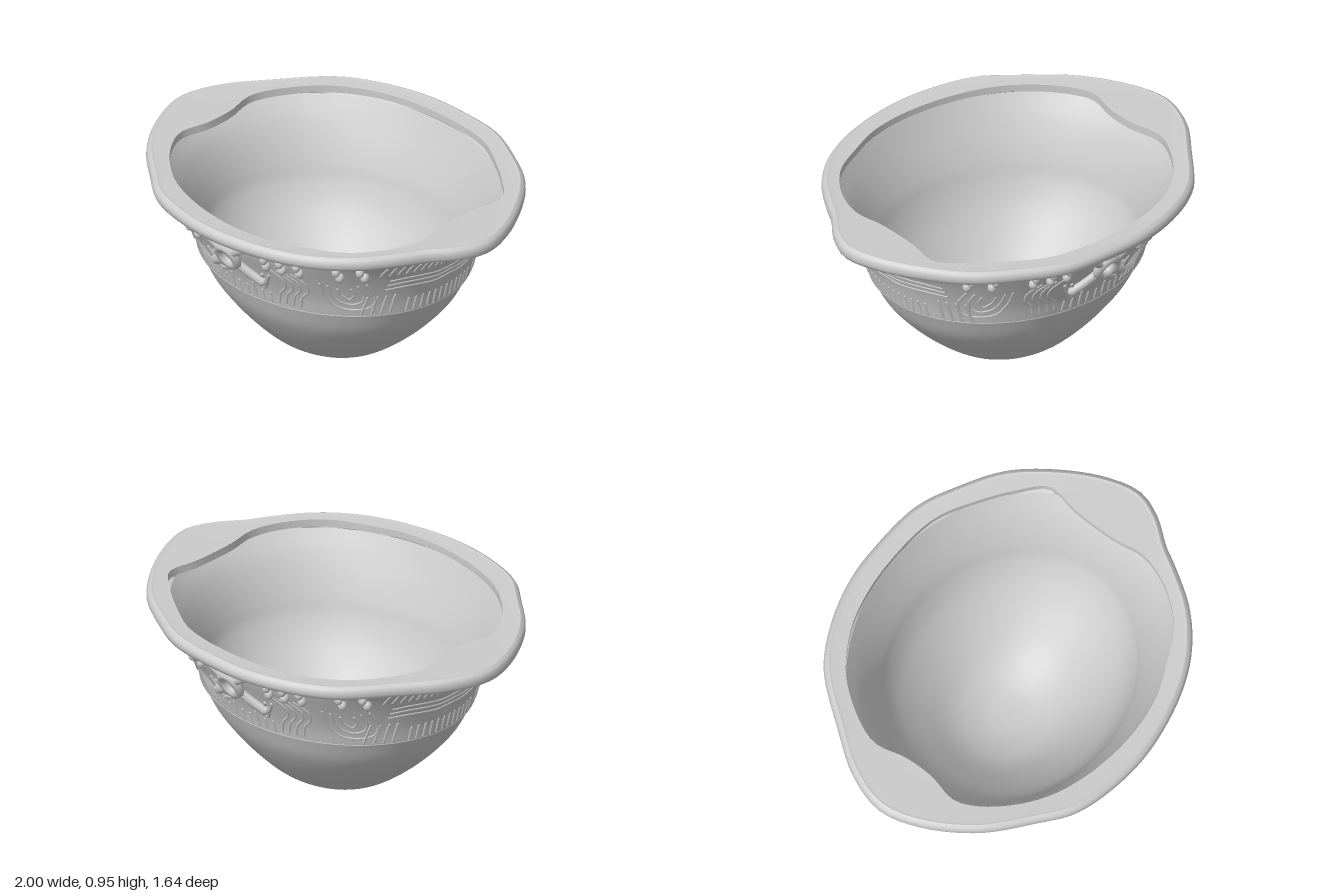
import * as THREE from 'three';
import { mergeGeometries } from 'three/addons/utils/BufferGeometryUtils.js';

const N = 120;
const material = new THREE.MeshStandardMaterial({ color: 0xcccccc });
const V = (x, y, z) => new THREE.Vector3(x, y, z);

// Closed surface of rings: at(theta, row) gives a point, rows run upward for an outward face
function loft(rows, at) {
  const pos = [], idx = [];
  rows.forEach((row, j) => {
    for (let i = 0; i < N; i++) {
      pos.push(...at((i / N) * Math.PI * 2, row));
      if (j === rows.length - 1) continue;
      const a = j * N + i, b = j * N + (i + 1) % N;
      idx.push(a, b, a + N, b, b + N, a + N);
    }
  });
  const g = new THREE.BufferGeometry();
  g.setAttribute('position', new THREE.Float32BufferAttribute(pos, 3));
  g.setIndex(idx);
  g.computeVertexNormals();
  return g;
}

// Elliptical ring of a profile point holding (half width, height, half depth)
const ring = (t, p) => [p.x * Math.sin(t), p.y, p.z * Math.cos(t)];
const profile = (pts, n) => new THREE.CatmullRomCurve3(pts.map(p => V(...p))).getPoints(n);

// Radius by angle of an irregular closed outline given as [x, z] points
function polar(pts) {
  const curve = new THREE.CatmullRomCurve3(pts.map(([x, z]) => V(x, 0, z)), true);
  const s = curve.getPoints(300).slice(0, -1)
    .map(p => [(Math.atan2(p.x, p.z) + Math.PI * 2) % (Math.PI * 2), Math.hypot(p.x, p.z)])
    .sort((a, b) => a[0] - b[0]);
  return t => {
    const k = s.findIndex(e => e[0] >= t);
    if (k <= 0) return s[0][1];
    const [a, b] = [s[k - 1], s[k]];
    return a[1] + (b[1] - a[1]) * (t - a[0]) / (b[0] - a[0] || 1);
  };
}
const ellipse = (a, b) => t => 1 / Math.hypot(Math.sin(t) / a, Math.cos(t) / b);

const bowlProfile = profile([[0, 0, 0], [0.08, 0.004, 0.07], [0.16, 0.02, 0.14], [0.26, 0.06, 0.225],
  [0.34, 0.11, 0.3], [0.45, 0.2, 0.39], [0.55, 0.3, 0.47], [0.63, 0.4, 0.535], [0.69, 0.515, 0.585]], 40);
const bandProfile = profile([[0.695, 0.515, 0.592], [0.715, 0.6, 0.617], [0.75, 0.7, 0.66],
  [0.8, 0.8, 0.708], [0.84, 0.85, 0.728], [0.89, 0.89, 0.748]], 30);
const innerProfile = profile([[0, 0.045, 0], [0.07, 0.048, 0.06], [0.14, 0.06, 0.12], [0.24, 0.098, 0.21],
  [0.32, 0.148, 0.28], [0.42, 0.235, 0.365], [0.52, 0.335, 0.445], [0.595, 0.43, 0.507], [0.65, 0.53, 0.552],
  [0.675, 0.61, 0.58], [0.712, 0.71, 0.625], [0.765, 0.81, 0.675], [0.84, 0.9, 0.718]], 55);

const outerEdge = polar([[0, 0.82], [0.3, 0.77], [0.51, 0.68], [0.68, 0.54], [0.81, 0.35], [0.86, 0.26],
  [0.95, 0.14], [1, 0], [0.95, -0.2], [0.8, -0.45], [0.68, -0.58], [0.51, -0.69], [0.3, -0.79], [0, -0.82],
  [-0.18, -0.81], [-0.4, -0.75], [-0.6, -0.64], [-0.8, -0.4], [-0.94, -0.2], [-1, 0], [-0.95, 0.2],
  [-0.8, 0.44], [-0.6, 0.62], [-0.45, 0.735], [-0.24, 0.8]]);
const opening = polar([[0, 0.71], [0.22, 0.69], [0.4, 0.62], [0.57, 0.53], [0.7, 0.37], [0.755, 0.2],
  [0.735, 0.05], [0.735, -0.18], [0.755, -0.35], [0.66, -0.45], [0.5, -0.57], [0.3, -0.68], [0, -0.715],
  [-0.25, -0.69], [-0.42, -0.63], [-0.6, -0.5], [-0.755, -0.23], [-0.725, -0.05], [-0.725, 0.1],
  [-0.755, 0.25], [-0.71, 0.36], [-0.6, 0.49], [-0.45, 0.6], [-0.25, 0.675]]);

// Half width and half depth of the band at height y
function axes(y) {
  const k = Math.max(1, bandProfile.findIndex(p => p.y >= y));
  const a = bandProfile[k - 1], b = bandProfile[k];
  return a.clone().lerp(b, (y - a.y) / (b.y - a.y));
}
// Points on the band wall seen from the front (by x) or from the side (by z)
function onFront(x, y, d = 0) {
  const p = axes(y);
  return V(x, y, (p.z + d) * Math.sqrt(1 - (x / (p.x + d)) ** 2));
}
function onSide(z, y, d = 0) {
  const p = axes(y);
  return V((p.x + d) * Math.sqrt(1 - (z / (p.z + d)) ** 2), y, z);
}

export function createModel() {
  const model = new THREE.Group();
  const add = (name, geometry, parent = model) => {
    const m = new THREE.Mesh(geometry, material);
    m.name = name;
    parent.add(m);
  };

  add('bowl', loft(bowlProfile, ring));
  add('band', loft(bandProfile, ring));
  add('interior', loft([...innerProfile].reverse(), ring));

  // Rim: rows hold [radius by angle, height]
  const rimPart = rows => loft(rows, (t, [radius, y]) => {
    const r = radius(t);
    return [r * Math.sin(t), y - (y > 0.92 ? 0.003 * Math.cos(2 * t) : 0), r * Math.cos(t)];
  });
  const inset = d => t => outerEdge(t) - d;
  add('rimEdge', rimPart([[ellipse(0.88, 0.742), 0.887], [inset(0.05), 0.885], [inset(0.025), 0.878],
    [inset(0.008), 0.887], [inset(0), 0.905], [inset(0.001), 0.925], [inset(0.01), 0.94], [inset(0.025), 0.948]]));
  add('rimTop', rimPart([[inset(0.025), 0.948], [inset(0.04), 0.944], [opening, 0.942]]));
  add('rimLip', rimPart([[opening, 0.942], [opening, 0.905]]));
  add('rimUnderside', rimPart([[opening, 0.905], [ellipse(0.84, 0.718), 0.9]]));

  // Ridge where the band meets the bowl
  const ridge = [];
  for (let i = 0; i < 72; i++) {
    const t = i / 72 * Math.PI * 2;
    ridge.push(V(0.691 * Math.sin(t), 0.518, 0.589 * Math.cos(t)));
  }
  add('bandRidge', new THREE.TubeGeometry(new THREE.CatmullRomCurve3(ridge, true), 144, 0.006, 6, true));

  // Raised ornament, repeated in all four quarters
  const ornament = {};
  const put = (name, g) => (ornament[name] ??= []).push(g);
  function line(name, surface, pts, r = 0.007, d = -0.002, closed = false) {
    for (const sx of [1, -1]) for (const sz of [1, -1]) {
      const path = pts.map(([u, y]) => surface(u, y, d).multiply(V(sx, 1, sz)));
      put(name, new THREE.TubeGeometry(new THREE.CatmullRomCurve3(path, closed), pts.length * 4, r, 6, closed));
      if (closed) continue;
      for (const p of [path[0], path[path.length - 1]])
        put(name, new THREE.SphereGeometry(r, 8, 6).translate(p.x, p.y, p.z));
    }
  }

  // Bead pairs below the rim
  for (const x of [0.22, 0.3, 0.38, 0.545, 0.63])
    for (const [y, r] of [[0.835, 0.024], [0.795, 0.026]])
      for (const sx of [1, -1]) for (const sz of [1, -1]) {
        const p = onFront(x, y, 0.01).multiply(V(sx, 1, sz));
        put('beads', new THREE.SphereGeometry(r, 12, 8).scale(0.85, 1.05, 0.85).translate(p.x, p.y, p.z));
      }

  // Nested U shapes
  for (const [w, top, low] of [[0.085, 0.73, 0.56], [0.055, 0.72, 0.595], [0.025, 0.7, 0.63]])
    line('nestedArches', onFront, [[0.52 - w, top], [0.52 - w, (top + low) / 2], [0.52 - w * 0.7, low + 0.02],
      [0.52, low], [0.52 + w * 0.7, low + 0.02], [0.52 + w, (top + low) / 2], [0.52 + w, top]]);

  // Flowing lines between emblem and arches
  for (let k = 0; k < 4; k++) {
    const x = 0.22 + k * 0.035;
    line('flowingLines', onFront, [[x, 0.765], [x + 0.045, 0.71], [x + 0.04, 0.66], [x, 0.61], [x - 0.02, 0.55]]);
  }

  // Vertical ticks, front and sides
  for (let k = 0; k < 4; k++)
    line('frontTicks', onFront, [[0.025 + k * 0.045, 0.535], [0.025 + k * 0.045, k === 1 ? 0.62 : 0.59]]);
  for (let k = 0; k < 11; k++) {
    const z = 0.018 + k * 0.036;
    line('upperTicks', onSide, [[z, 0.79], [z, 0.845]]);
    if (k !== 6) line('lowerTicks', onSide, [[z, 0.53], [z, k > 6 ? 0.64 : 0.6]]);
  }

  // Horizontal waves on the sides
  for (const y of [0.685, 0.715, 0.745])
    line('sideWaves', onSide, [[0, y - 0.004], [0.08, y - 0.01], [0.17, y], [0.25, y + 0.006], [0.32, y]]);

  // Angular frames under the emblem, one inside the other
  for (const [x, y, s] of [[0.14, 0.615, 1], [0.125, 0.65, 0.6]]) {
    line('angularFrames', onFront, [[x, y], [x + 0.055 * s, y + 0.1 * s]], 0.01);
    line('angularFrames', onFront, [[x, y], [x - 0.11 * s, y + 0.05 * s]], 0.01);
  }

  // Emblem: ring with four arms
  const loop = [];
  for (let i = 0; i < 16; i++) {
    const t = i / 16 * Math.PI * 2;
    loop.push([0.055 * Math.cos(t), 0.775 + 0.055 * Math.sin(t)]);
  }
  line('emblemRing', onFront, loop, 0.023, 0.025, true);
  line('emblemArms', onFront, [[0.055, 0.82], [0.105, 0.855]], 0.022, 0.018);
  line('emblemArms', onFront, [[0.05, 0.73], [0.1, 0.695], [0.15, 0.665]], 0.024, 0.012);

  const relief = new THREE.Group();
  relief.name = 'relief';
  for (const [name, list] of Object.entries(ornament)) add(name, mergeGeometries(list), relief);
  model.add(relief);
  return model;
}
